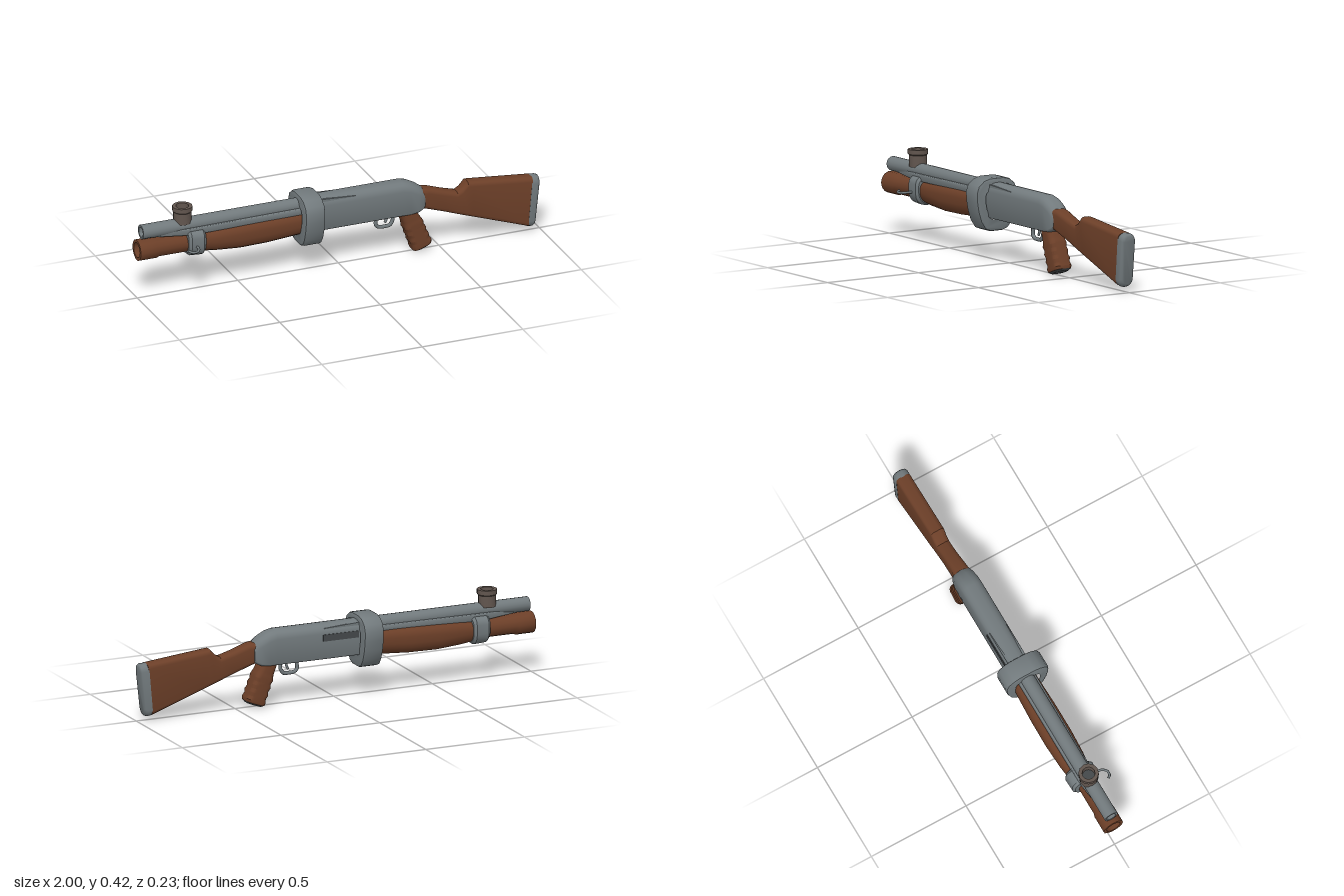
import * as THREE from 'three';
import { toCreasedNormals } from 'three/addons/utils/BufferGeometryUtils.js';

const material = (name, color) => {
  const m = new THREE.MeshStandardMaterial({ color });
  m.name = name;
  return m;
};

// Rounded rectangle in (z, y) with separate top and bottom corner radii
function ring(yb, yt, hw, rt, rb) {
  const pts = [];
  const corner = (z, y, r, start) => {
    for (let i = 0; i <= 4; i++) {
      const a = start + (i / 4) * Math.PI / 2;
      pts.push([z + r * Math.cos(a), y + r * Math.sin(a)]);
    }
  };
  const t = Math.min(rt, hw * 0.98, (yt - yb) * 0.49);
  const b = Math.min(rb, hw * 0.98, (yt - yb) * 0.49);
  corner(hw - t, yt - t, t, 0);
  corner(-hw + t, yt - t, t, Math.PI / 2);
  corner(-hw + b, yb + b, b, Math.PI);
  corner(hw - b, yb + b, b, Math.PI * 1.5);
  return pts;
}

// Skin through stations [x, bottom, top, half width, slant] along x
function loft(stations, rt, rb, crease = 0.6) {
  const pos = [], index = [], n = 20;
  for (const [x, yb, yt, hw, slant = 0] of stations)
    for (const [z, y] of ring(yb, yt, hw, rt, rb))
      pos.push(x + slant * ((y - yb) / (yt - yb) - 0.5), y, z);
  const last = (stations.length - 1) * n;
  for (let i = 0; i < stations.length - 1; i++)
    for (let j = 0; j < n; j++) {
      const a = i * n + j, c = i * n + (j + 1) % n;
      index.push(a, a + n, c, a + n, c + n, c);
    }
  for (let j = 1; j < n - 1; j++) index.push(0, j, j + 1, last, last + j + 1, last + j);
  const g = new THREE.BufferGeometry();
  g.setAttribute('position', new THREE.Float32BufferAttribute(pos, 3));
  g.setIndex(index);
  return toCreasedNormals(g, crease);
}

const lathe = (points, sides) => toCreasedNormals(
  new THREE.LatheGeometry(points.map(([r, y]) => new THREE.Vector2(r, y)), sides), 0.6);

const wire = (points, r) => new THREE.TubeGeometry(
  new THREE.CatmullRomCurve3(points.map(p => new THREE.Vector3(...p)), false, 'catmullrom', 0.3), 28, r, 8);

export function createModel() {
  const model = new THREE.Group();
  const steel = material('steel grey', 0x727a7d);
  const wood = material('brown wood', 0x6c3f28);
  const sightMetal = material('sight brown grey', 0x62564f);
  const dark = material('dark grey', 0x44484a);
  const MID = -0.006;

  const add = (name, geometry, mat, x = 0, y = 0, z = MID) => {
    const mesh = new THREE.Mesh(geometry, mat);
    mesh.name = name;
    mesh.position.set(x, y, z);
    model.add(mesh);
    return mesh;
  };

  // Receiver with sloping rear
  add('receiver', loft([
    [-0.16, 0.203, 0.366, 0.052], [0.31, 0.203, 0.366, 0.052], [0.345, 0.203, 0.358, 0.052],
    [0.385, 0.206, 0.338, 0.05], [0.41, 0.218, 0.32, 0.046], [0.42, 0.228, 0.31, 0.04],
  ], 0.04, 0.012), steel);

  // Port block at the receiver shoulder and slot on the far side
  const port = new THREE.Shape();
  port.moveTo(-0.12, 0.30);
  port.lineTo(0.03, 0.312);
  port.lineTo(0.08, 0.333);
  port.lineTo(0.07, 0.35);
  port.lineTo(-0.12, 0.36);
  add('portBlock', new THREE.ExtrudeGeometry(port, { depth: 0.092, bevelEnabled: false }), steel, 0, 0, MID - 0.046);
  add('ejectionSlot', new THREE.BoxGeometry(0.18, 0.032, 0.006), dark, -0.01, 0.306, MID - 0.0515);

  // Hollow barrel and lower tube, both opening at -x
  const bore = (r, ri, len) => lathe([[0, 0], [r, 0], [r, len], [ri, len], [ri, len - 0.1], [0, len - 0.1]], 16)
    .rotateZ(Math.PI / 2);
  add('barrel', bore(0.034, 0.024, 0.84), steel, -0.14, 0.333);
  const lower = lathe([[0, 0], [0.046, 0], [0.046, 0.2], [0.051, 0.215], [0.051, 0.3],
    [0.036, 0.3], [0.036, 0.19], [0, 0.19]], 14).rotateZ(Math.PI / 2);
  add('lowerTube', lower, wood, -0.7, 0.245);

  // Web and rib joining barrel to fore-end
  add('barrelRib', loft([
    [-0.95, 0.304, 0.324, 0.016], [-0.74, 0.290, 0.325, 0.042], [-0.16, 0.298, 0.33, 0.044],
  ], 0.006, 0.006), steel);

  // Swelling wooden fore-end
  add('foreEnd', loft([
    [-0.69, 0.192, 0.294, 0.054], [-0.62, 0.184, 0.298, 0.062], [-0.5, 0.177, 0.302, 0.067],
    [-0.36, 0.179, 0.306, 0.066], [-0.15, 0.192, 0.31, 0.059],
  ], 0.04, 0.055), wood, 0, 0, -0.011);

  // Front clamp
  add('frontClamp', loft([
    [-0.762, 0.192, 0.308, 0.06], [-0.75, 0.183, 0.314, 0.069],
    [-0.69, 0.18, 0.314, 0.071], [-0.678, 0.188, 0.306, 0.062],
  ], 0.035, 0.055), steel, 0, 0, -0.011);

  // Egg-shaped band around the receiver front
  const half = [[0.035, 0.376], [0.065, 0.368], [0.09, 0.348], [0.1, 0.32], [0.098, 0.28],
    [0.09, 0.235], [0.075, 0.19], [0.055, 0.161], [0.03, 0.152]];
  const outline = [...half, ...half.map(([z, y]) => [-z, y]).reverse()];
  const path = s => outline.map(([z, y]) => new THREE.Vector2(z * s, 0.27 + (y - 0.27) * s));
  const bandShape = new THREE.Shape(path(1));
  bandShape.holes.push(new THREE.Path(path(0.64)));
  const band = new THREE.ExtrudeGeometry(bandShape, {
    depth: 0.076, bevelThickness: 0.012, bevelSize: 0.012, bevelSegments: 2,
  }).rotateY(Math.PI / 2);
  add('centreBand', toCreasedNormals(band, 0.7), steel, -0.193, 0, -0.004);

  // Cup-shaped sight on the barrel
  add('frontSight', lathe([[0, 0], [0.042, 0], [0.042, 0.055], [0.047, 0.06], [0.047, 0.082],
    [0.03, 0.082], [0.03, 0.045], [0, 0.045]], 12), sightMetal, -0.773, 0.347, -0.008);
  add('sightWell', new THREE.CylinderGeometry(0.029, 0.029, 0.004, 12), dark, -0.773, 0.394, -0.008);

  // Sling hook on the front clamp
  add('slingHook', wire([[-0.725, 0.24, 0.05], [-0.728, 0.24, 0.085], [-0.745, 0.238, 0.106],
    [-0.768, 0.238, 0.106], [-0.782, 0.242, 0.09]], 0.006), steel, 0, 0, 0);

  // Trigger guard and trigger
  add('triggerGuard', wire([[0.192, 0.21, 0], [0.188, 0.165, 0], [0.205, 0.148, 0],
    [0.255, 0.148, 0], [0.272, 0.17, 0], [0.274, 0.21, 0]], 0.009), steel);
  add('trigger', wire([[0.235, 0.21, 0], [0.243, 0.185, 0], [0.234, 0.166, 0]], 0.006), steel);

  // Raked pistol grip with finger ridges
  const grip = new THREE.Group();
  grip.name = 'pistolGrip';
  grip.position.set(0.345, 0.205, MID);
  grip.rotation.z = -1.22;
  const sections = [[-0.03, -0.045, 0.035, 0.04], [0.035, -0.042, 0.04, 0.044]];
  for (let i = 0; i < 8; i++) {
    const bump = i % 2 ? 0.004 : 0;
    sections.push([0.05 + i * 0.018, -0.044 - bump, 0.044 + i * 0.0006 + bump, 0.044 + bump * 0.8]);
  }
  sections.push([0.19, -0.047, 0.048, 0.044]);
  const handle = new THREE.Mesh(loft(sections, 0.025, 0.025), wood);
  handle.name = 'gripHandle';
  const cap = new THREE.Mesh(loft([[0.19, -0.046, 0.047, 0.043], [0.198, -0.038, 0.038, 0.034]], 0.025, 0.025), dark);
  cap.name = 'gripCap';
  grip.add(handle, cap);
  model.add(grip);

  // Shoulder stock with stepped comb
  add('stock', loft([
    [0.40, 0.222, 0.316, 0.04], [0.44, 0.208, 0.312, 0.037], [0.52, 0.18, 0.285, 0.034],
    [0.585, 0.156, 0.267, 0.034], [0.61, 0.147, 0.281, 0.034], [0.637, 0.138, 0.31, 0.035],
    [0.66, 0.13, 0.308, 0.035], [0.946, 0.034, 0.278, 0.036, 0.022],
  ], 0.022, 0.018), wood, 0, 0, -0.004);

  // Butt pad
  add('buttPad', loft([
    [0.943, 0.03, 0.279, 0.037, 0.022], [0.968, 0.027, 0.278, 0.038, 0.026],
    [0.978, 0.031, 0.274, 0.035, 0.026], [0.983, 0.042, 0.264, 0.025, 0.024],
  ], 0.032, 0.032, 0.9), steel, 0, 0, -0.004);

  return model;
}
